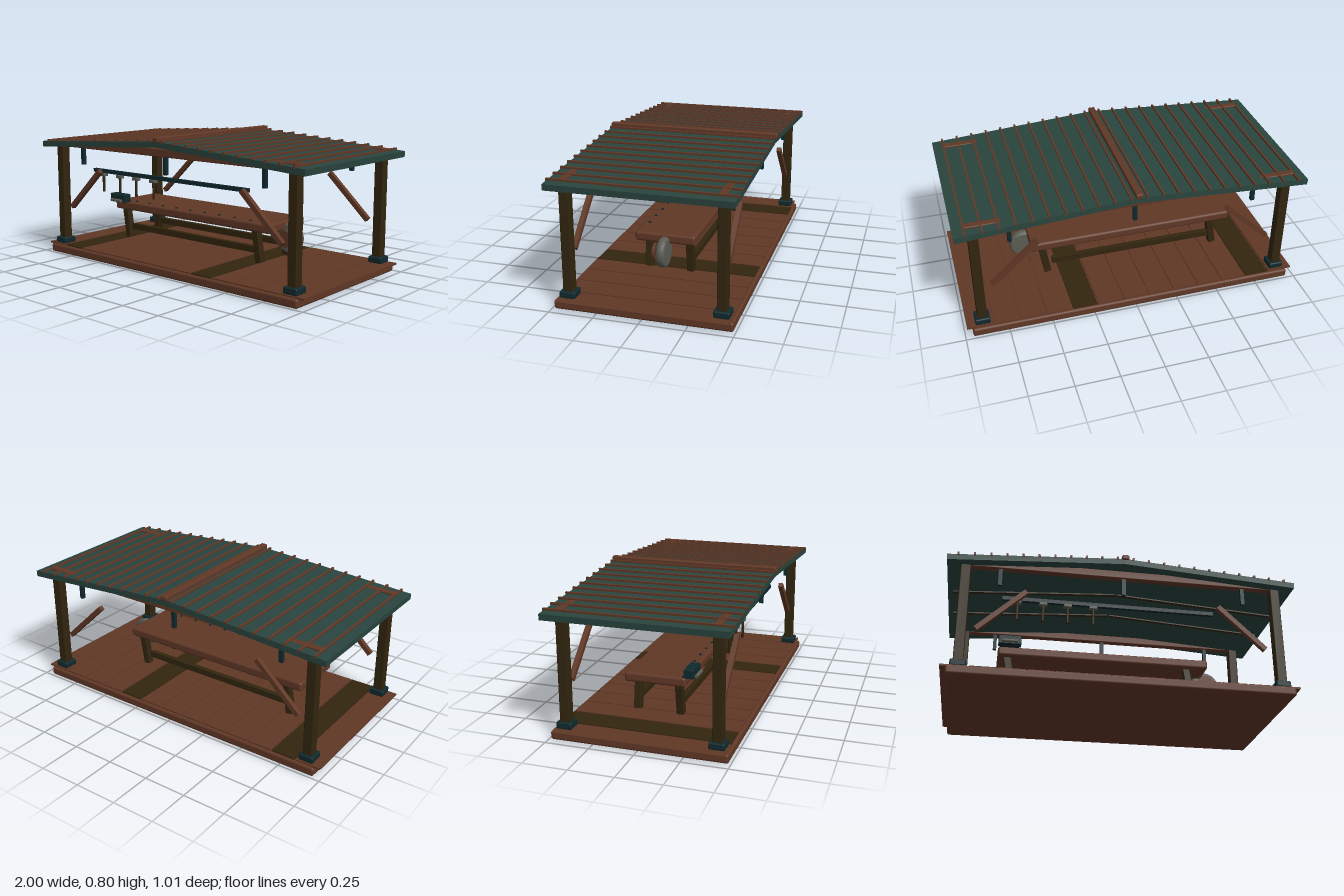
import * as THREE from 'three';
import { RoundedBoxGeometry } from 'three/addons/geometries/RoundedBoxGeometry.js';

const flat = (name, color) => {
  const m = new THREE.MeshStandardMaterial({ color });
  m.name = name;
  return m;
};

export function createModel() {
  const wood = flat('warm brown wood', 0x613826);
  const darkWood = flat('dark olive wood', 0x32250f);
  const roofGreen = flat('roof green', 0x29443e);
  const iron = flat('dark teal iron', 0x10292d);
  const stone = flat('grey stone', 0x5b5c53);

  const model = new THREE.Group();
  model.name = 'openWorkshop';

  const add = (name, geometry, material, x, y, z, parent = model) => {
    const mesh = new THREE.Mesh(geometry, material);
    mesh.name = name;
    mesh.position.set(x, y, z);
    parent.add(mesh);
    return mesh;
  };
  const box = (w, h, d) => new THREE.BoxGeometry(w, h, d);
  const soft = (w, h, d, r) => new RoundedBoxGeometry(w, h, d, 2, r);
  const group = (name) => {
    const g = new THREE.Group();
    g.name = name;
    model.add(g);
    return g;
  };

  // Foundation and floor planks
  add('foundation', soft(1.91, 0.05, 0.976, 0.012), wood, 0, 0.025, 0);
  const floor = group('floor');
  const planks = 13, pitch = 1.98 / planks;
  for (let i = 0; i < planks; i++) {
    add('floorPlank', box(pitch - 0.009, 0.01, 0.94), i % 7 === 1 ? darkWood : wood,
      -0.99 + pitch * (i + 0.5), 0.052, 0, floor);
  }

  // Corner posts, feet and braces; long beams with hooks
  const frame = group('frame');
  for (const z of [-0.42, 0.42]) {
    for (const s of [-1, 1]) {
      add('post', soft(0.055, 0.6, 0.055, 0.005), darkWood, s * 0.893, 0.385, z, frame);
      add('postFoot', soft(0.086, 0.038, 0.088, 0.008), iron, s * 0.893, 0.076, z, frame);
      const brace = add('brace', box(0.365, 0.028, 0.028), wood, s * 0.683, 0.422, z, frame);
      brace.rotation.z = -s * 0.755;
    }
    add('beam', soft(1.87, 0.046, 0.042, 0.005), wood, 0, 0.7, z, frame);
    for (const x of [-0.7, 0, 0.7]) {
      add('hook', box(0.022, 0.11, 0.022), iron, x, 0.63, z, frame);
    }
  }

  // Two roof slopes, each with battens above and purlins below
  for (const turn of [0, Math.PI]) {
    const slope = group('roofSlope');
    slope.position.y = 0.771;
    slope.rotation.set(0, turn, -0.065);
    add('roofPanel', box(1, 0.034, 0.996), roofGreen, 0.5, -0.017, 0, slope);
    for (let i = 0; i < 11; i++) {
      add('batten', box(0.011, 0.016, 1.008), wood, 0.045 + i * 0.0893, 0.003, 0, slope);
    }
    for (const z of [-0.135, 0.135]) {
      add('purlin', box(0.96, 0.012, 0.022), darkWood, 0.49, -0.036, z, slope);
    }
  }
  add('ridgeCap', soft(0.04, 0.03, 1.014, 0.007), wood, 0, 0.78, 0);

  // Tool rail with hanging hammers
  const tools = group('toolRail');
  add('rail', box(1.22, 0.022, 0.022), iron, -0.07, 0.536, 0.348, tools);
  for (const x of [-0.595, -0.45, -0.31, -0.165]) {
    add('hammerHead', soft(0.046, 0.02, 0.03, 0.004), stone, x, 0.515, 0.352, tools);
    add('hammerHandle', new THREE.CylinderGeometry(0.008, 0.008, 0.1, 10), darkWood, x, 0.458, 0.352, tools);
  }

  // Workbench
  const bench = group('workbench');
  add('benchTop', soft(1.23, 0.054, 0.346, 0.014), wood, -0.07, 0.295, 0.002, bench);
  for (const z of [-0.125, 0.125]) {
    for (const x of [-0.6, 0.45]) {
      const leg = add('benchLeg', soft(0.042, 0.186, 0.042, 0.004), darkWood, x, 0.179, z, bench);
      leg.position.x += z > 0 ? -0.015 : 0.015;
      leg.rotation.z = z > 0 ? 0.16 : -0.16;
    }
    add('stretcher', box(0.99, 0.036, 0.03), darkWood, -0.075, 0.158, z, bench);
  }
  for (let i = 0; i < 9; i++) {
    add('benchPeg', new THREE.CylinderGeometry(0.008, 0.008, 0.012, 10), iron,
      -0.525 + i * 0.1143, 0.322, 0.14, bench);
  }

  // Vise on the front edge of the bench
  const vise = group('vise');
  add('viseBody', soft(0.13, 0.051, 0.054, 0.005), iron, -0.62, 0.347, 0.193, vise);
  add('viseBase', box(0.11, 0.008, 0.07), iron, -0.62, 0.325, 0.188, vise);
  const bar = add('viseBar', new THREE.CylinderGeometry(0.01, 0.01, 0.09, 12), stone, -0.62, 0.333, 0.23, vise);
  bar.rotation.z = Math.PI / 2;

  // Grinding wheel with rounded rim, hub disc and crank handle
  const grinder = group('grinder');
  grinder.position.set(0.565, 0.225, 0);
  const profile = [[0, -0.025], [0.07, -0.025], [0.079, -0.021], [0.084, -0.013], [0.086, 0],
    [0.084, 0.013], [0.079, 0.021], [0.07, 0.025], [0, 0.025]].map(([r, y]) => new THREE.Vector2(r, y));
  const round = (name, geometry, material, z) => {
    add(name, geometry, material, 0, 0, z, grinder).rotation.x = Math.PI / 2;
  };
  round('grindingWheel', new THREE.LatheGeometry(profile, 40), stone, 0);
  round('axle', new THREE.CylinderGeometry(0.014, 0.014, 0.05, 12), darkWood, 0.025);
  round('hubDisc', new THREE.CylinderGeometry(0.049, 0.049, 0.014, 24), wood, 0.049);
  add('crankHandle', box(0.014, 0.034, 0.012), darkWood, -0.038, 0.058, 0.056, grinder);

  return model;
}
